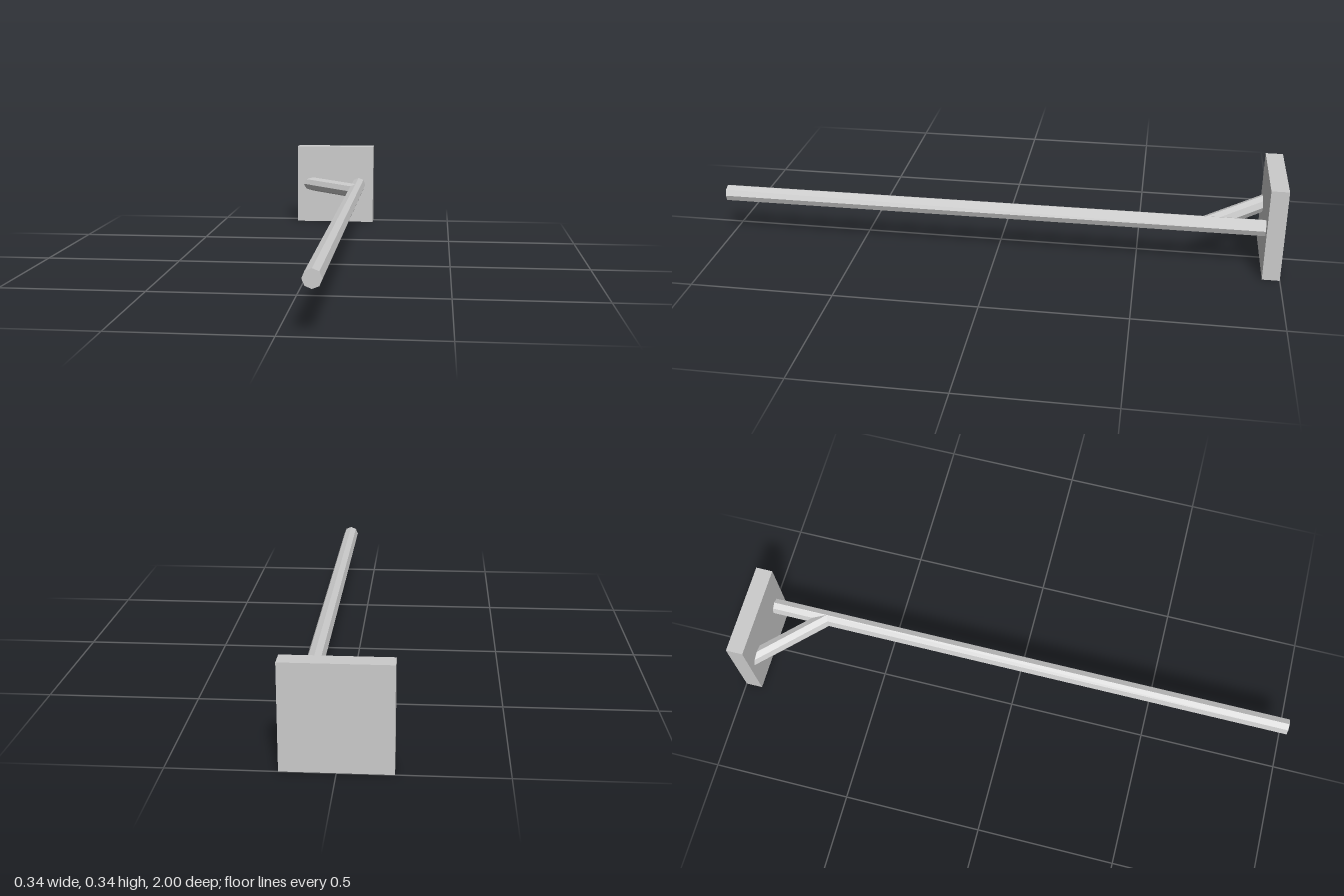
import * as THREE from 'three';

const material = new THREE.MeshStandardMaterial({ color: 0xcccccc, flatShading: true });
const RADIUS = 0.0297;
const MID_Y = 0.168;

// Eight-sided rod between two points, with one corner line facing up
function rod(name, x0, z0, x1, z1) {
  const dx = x1 - x0, dz = z1 - z0;
  const geometry = new THREE.CylinderGeometry(RADIUS, RADIUS, Math.hypot(dx, dz), 8);
  geometry.rotateX(Math.PI / 2);
  geometry.rotateY(Math.atan2(dx, dz));
  const mesh = new THREE.Mesh(geometry, material);
  mesh.name = name;
  mesh.position.set((x0 + x1) / 2, MID_Y, (z0 + z1) / 2);
  return mesh;
}

export function createModel() {
  const group = new THREE.Group();
  group.name = 'wallMountedPole';

  // Square mounting plate at the back
  const plate = new THREE.Mesh(new THREE.BoxGeometry(0.335, 0.336, 0.061), material);
  plate.name = 'mountingPlate';
  plate.position.set(0, MID_Y, -0.9695);
  group.add(plate);

  // Long pole, and a diagonal brace from the plate to the pole
  group.add(rod('pole', 0.104, -1, 0.104, 1));
  group.add(rod('brace', -0.14, -0.979, 0.104, -0.735));

  return group;
}
